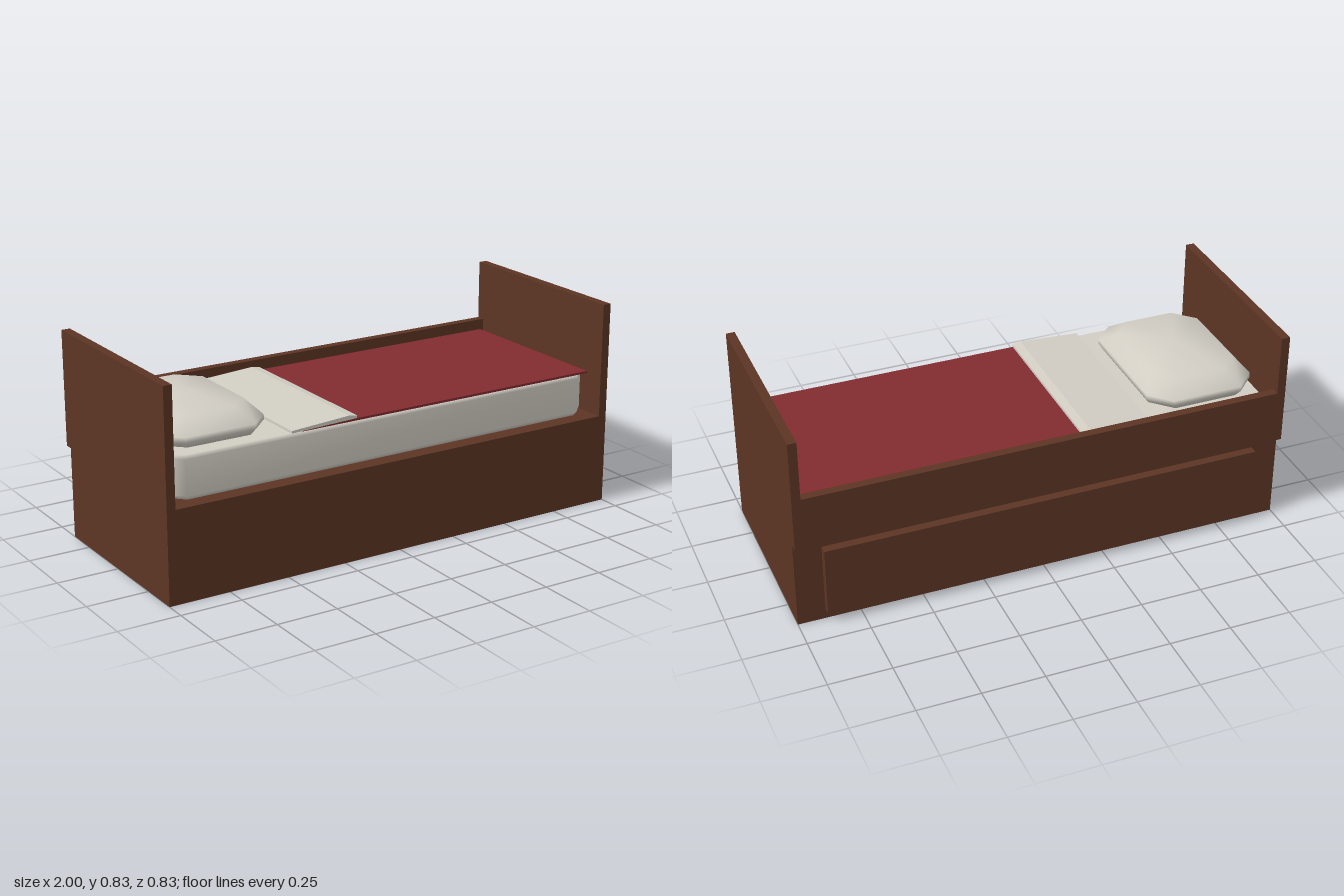
import * as THREE from 'three';

const wood = new THREE.MeshStandardMaterial({ name: 'darkWood', color: 0x5c3524, side: THREE.DoubleSide });
const linen = new THREE.MeshStandardMaterial({ name: 'paleLinen', color: 0xd2cec4 });
const wool = new THREE.MeshStandardMaterial({ name: 'redBlanket', color: 0x822b30 });

// Box given by its minimum and maximum corners
function box(name, material, [x0, y0, z0], [x1, y1, z1]) {
  const mesh = new THREE.Mesh(new THREE.BoxGeometry(x1 - x0, y1 - y0, z1 - z0), material);
  mesh.position.set((x0 + x1) / 2, (y0 + y1) / 2, (z0 + z1) / 2);
  mesh.name = name;
  return mesh;
}

// Smooth cushion lofted through chamfered rectangles: rings of [y, halfX, halfZ, chamfer]
function cushion(name, material, rings, apexY) {
  const points = [];
  for (const [y, a, b, c] of rings) {
    const outline = [[a, c - b], [a, b - c], [a - c, b], [c - a, b], [-a, b - c], [-a, c - b], [c - a, -b], [a - c, -b]];
    for (const [x, z] of outline) points.push(x, y, z);
  }
  const index = [];
  const last = (rings.length - 1) * 8;
  const bottom = rings.length * 8;
  const top = bottom + 1;
  points.push(0, rings[0][0], 0, 0, apexY, 0);
  for (let i = 0; i < 8; i++) {
    const j = (i + 1) % 8;
    for (let r = 0; r < last; r += 8) {
      index.push(r + i, r + 8 + i, r + j, r + j, r + 8 + i, r + 8 + j);
    }
    index.push(bottom, i, j, top, last + j, last + i);
  }
  const geometry = new THREE.BufferGeometry();
  geometry.setAttribute('position', new THREE.Float32BufferAttribute(points, 3));
  geometry.setIndex(index);
  geometry.computeVertexNormals();
  const mesh = new THREE.Mesh(geometry, material);
  mesh.name = name;
  return mesh;
}

export function createModel() {
  const bed = new THREE.Group();
  bed.name = 'bed';

  // Hollow base, open underneath (the downward face is dropped)
  const base = box('base', wood, [-1, 0, -0.38], [1, 0.367, 0.415]);
  const faces = Array.from(base.geometry.index.array);
  faces.splice(18, 6);
  base.geometry.setIndex(faces);
  base.geometry.clearGroups();
  bed.add(base);

  // End boards, back rail and drawer front
  bed.add(box('headboard', wood, [-1, 0.367, -0.415], [-0.965, 0.833, 0.415]));
  bed.add(box('footboard', wood, [0.965, 0.367, -0.415], [1, 0.833, 0.415]));
  bed.add(box('backRail', wood, [-0.965, 0.367, -0.415], [0.965, 0.587, -0.38]));
  bed.add(box('drawerFront', wood, [-0.89, 0.045, -0.415], [0.89, 0.333, -0.38]));

  // Mattress with clipped corners and softened edges
  const mattress = cushion('mattress', linen, [
    [0.368, 0.942, 0.355, 0.06],
    [0.385, 0.952, 0.366, 0.06],
    [0.525, 0.952, 0.366, 0.06],
    [0.54, 0.942, 0.357, 0.06],
  ], 0.541);
  mattress.position.z = -0.004;
  bed.add(mattress);

  // Blanket and the turned-down sheet, which rises toward the blanket
  bed.add(box('blanket', wool, [-0.4, 0.539, -0.366], [0.94, 0.548, 0.358]));
  const fold = new THREE.Shape();
  [[-0.45, 0.54], [-0.165, 0.549], [-0.165, 0.56], [-0.2, 0.565], [-0.45, 0.55]]
    .forEach(([x, y], i) => (i ? fold.lineTo(x, y) : fold.moveTo(x, y)));
  const sheet = new THREE.Mesh(new THREE.ExtrudeGeometry(fold, { depth: 0.728, bevelEnabled: false }), linen);
  sheet.position.z = -0.368;
  sheet.name = 'foldedSheet';
  bed.add(sheet);

  // Pillow
  const pillow = cushion('pillow', linen, [
    [0.541, 0.21, 0.295, 0.08],
    [0.565, 0.225, 0.31, 0.08],
    [0.585, 0.225, 0.31, 0.08],
    [0.638, 0.18, 0.235, 0.08],
  ], 0.666);
  pillow.position.set(-0.715, 0, -0.004);
  bed.add(pillow);

  return bed;
}
